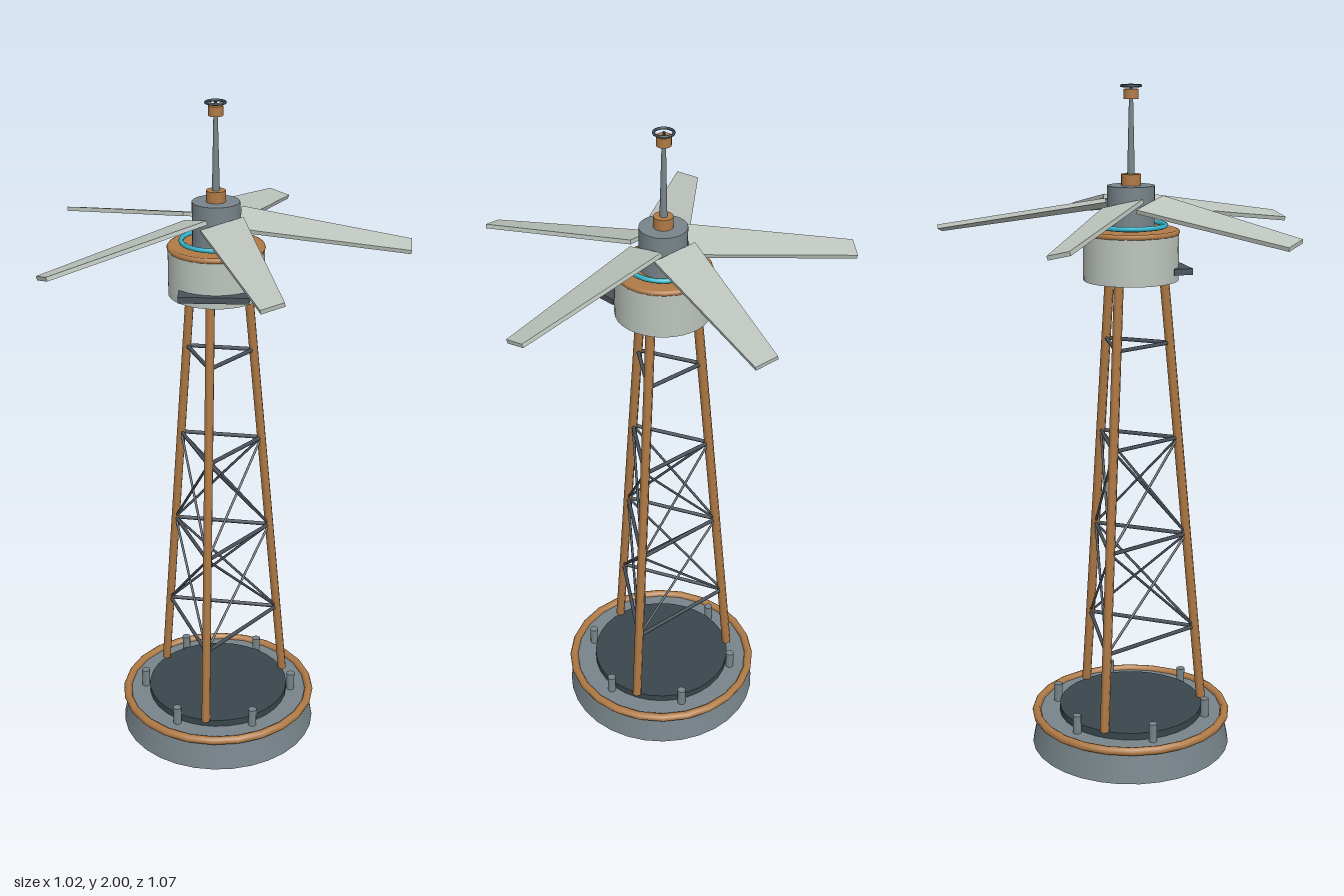
import * as THREE from 'three';

const paint = (name, color) => {
  const m = new THREE.MeshStandardMaterial({ color });
  m.name = name;
  return m;
};

export function createModel() {
  const steel = paint('steel grey', 0x77848a);
  const slate = paint('dark slate', 0x39464c);
  const copper = paint('copper', 0xb07a45);
  const pale = paint('pale grey', 0xbcc4bd);
  const strut = paint('strut grey', 0x4a525a);
  const cyan = paint('cyan', 0x35b5cc);

  const model = new THREE.Group();
  model.name = 'rotorTower';
  const tower = new THREE.Group();
  tower.name = 'tower';
  tower.position.x = -0.046; // blades reach further to one side
  model.add(tower);

  const add = (name, geometry, material, parent = tower) => {
    const mesh = new THREE.Mesh(geometry, material);
    mesh.name = name;
    parent.add(mesh);
    return mesh;
  };
  // Upright round part between two heights
  const drum = (name, rTop, rBottom, y0, y1, material, sides = 24) => {
    const mesh = add(name, new THREE.CylinderGeometry(rTop, rBottom, y1 - y0, sides), material);
    mesh.position.y = (y0 + y1) / 2;
    return mesh;
  };
  // Flat-lying ring
  const ring = (name, r, tube, y, material, sides = 24) => {
    const mesh = add(name, new THREE.TorusGeometry(r, tube, 8, sides), material);
    mesh.rotation.x = Math.PI / 2;
    mesh.position.y = y;
    return mesh;
  };
  // Straight rod between two points
  const rod = (name, a, b, r, material, sides = 6) => {
    const dir = b.clone().sub(a);
    const mesh = add(name, new THREE.CylinderGeometry(r, r, dir.length(), sides), material);
    mesh.position.copy(a).add(b).multiplyScalar(0.5);
    mesh.quaternion.setFromUnitVectors(new THREE.Vector3(0, 1, 0), dir.normalize());
    return mesh;
  };

  // Base with copper rim, dark deck and bolts
  drum('base', 0.285, 0.305, 0, 0.1, steel, 32);
  ring('baseRim', 0.293, 0.013, 0.1, copper);
  drum('deck', 0.22, 0.22, 0.1, 0.122, slate, 32);
  for (let i = 0; i < 6; i++) {
    const a = (i * Math.PI) / 3;
    const bolt = drum('bolt', 0.013, 0.013, 0.1, 0.157, steel, 10);
    bolt.position.x = 0.234 * Math.cos(a);
    bolt.position.z = 0.234 * Math.sin(a);
  }

  // Three leaning legs
  const legPoint = (i, y) => {
    const a = THREE.MathUtils.degToRad(97 + 120 * i);
    const r = 0.222 - ((y - 0.13) / 1.32) * 0.124;
    return new THREE.Vector3(r * Math.cos(a), y, r * Math.sin(a));
  };
  const levels = [0.36, 0.665, 0.97, 1.26];
  for (let i = 0; i < 3; i++) {
    rod('leg', legPoint(i, 0.122), legPoint(i, 1.47), 0.0145, copper);
    // Level braces, with crossed braces in the two lower bays
    levels.forEach((y, k) => {
      rod('levelBrace', legPoint(i, y), legPoint(i + 1, y), 0.006, strut);
      if (k < 2) {
        rod('crossBrace', legPoint(i, y), legPoint(i + 1, levels[k + 1]), 0.004, strut);
        rod('crossBrace', legPoint(i + 1, y), legPoint(i, levels[k + 1]), 0.004, strut);
      }
    });
  }

  // Housing and its top rings
  drum('housing', 0.138, 0.138, 1.45, 1.585, pale, 32);
  drum('housingLid', 0.132, 0.132, 1.585, 1.595, copper);
  ring('housingRim', 0.133, 0.008, 1.588, copper);
  ring('glowRing', 0.1, 0.007, 1.607, cyan);
  const ledge = add('frontLedge', new THREE.BoxGeometry(0.2, 0.018, 0.055), strut);
  ledge.position.set(0, 1.481, 0.127);

  // Hub, mast and finial
  drum('hub', 0.068, 0.068, 1.595, 1.72, steel);
  drum('mastCollar', 0.028, 0.028, 1.72, 1.752, copper, 16);
  drum('mast', 0.006, 0.011, 1.752, 1.965, steel, 12);
  drum('finial', 0.021, 0.021, 1.96, 1.987, copper, 16);
  drum('finialPin', 0.004, 0.004, 1.987, 1.998, slate, 8);
  ring('finialRing', 0.027, 0.004, 1.996, slate);

  // Five drooping, pitched blades, tapering outward
  const outline = new THREE.Shape([
    new THREE.Vector2(0.068, -0.063), new THREE.Vector2(0.556, -0.033),
    new THREE.Vector2(0.556, 0.033), new THREE.Vector2(0.068, 0.063),
  ]);
  const bladeGeometry = new THREE.ExtrudeGeometry(outline, { depth: 0.012, bevelEnabled: false });
  bladeGeometry.translate(0, 0, -0.006);
  bladeGeometry.rotateX(-Math.PI / 2 + 0.24); // pitch
  bladeGeometry.rotateZ(-0.15); // droop
  for (let i = 0; i < 5; i++) {
    const blade = add('blade', bladeGeometry, pale);
    blade.position.y = 1.68;
    blade.rotation.y = (i * 2 * Math.PI) / 5;
  }

  return model;
}
